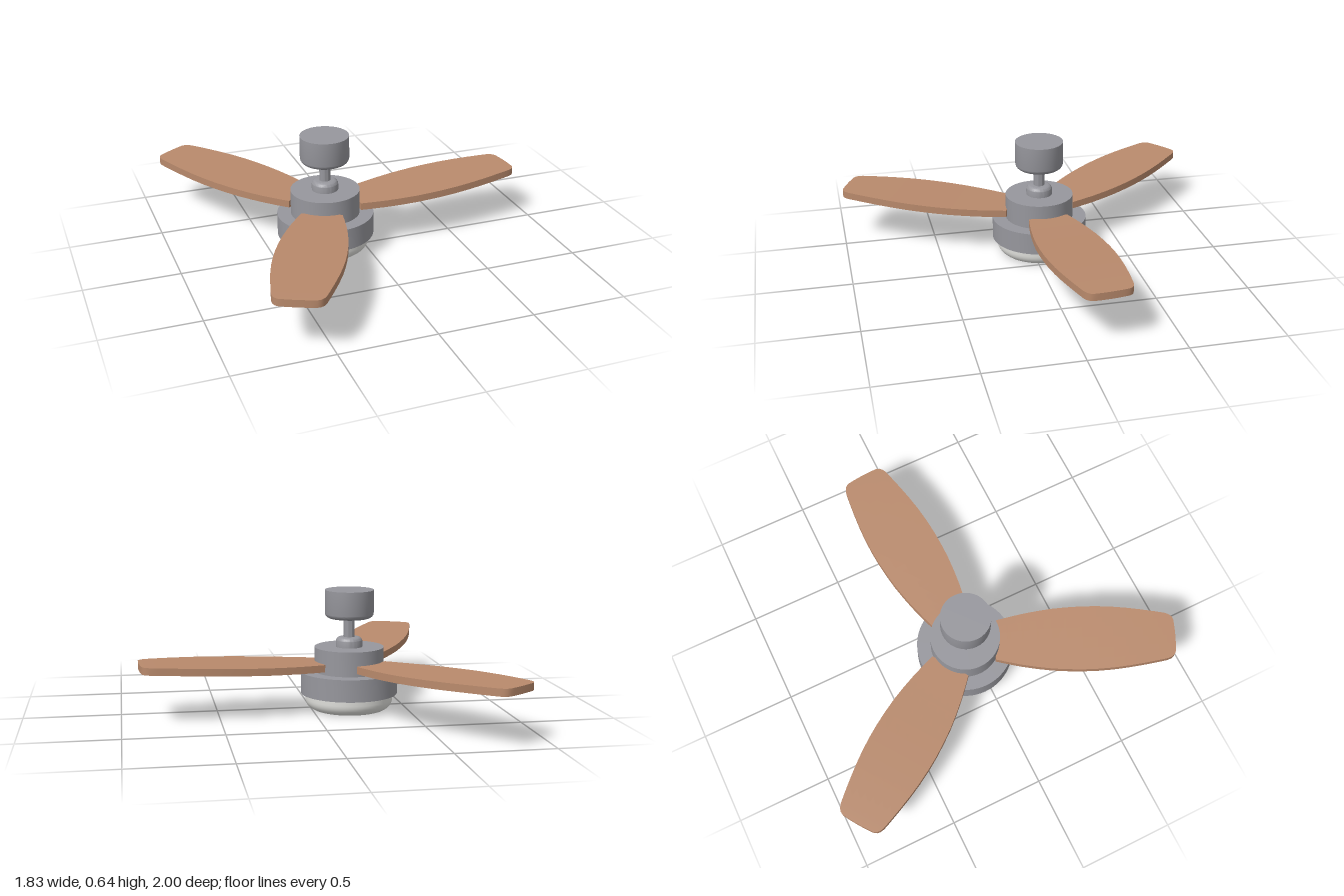
import * as THREE from 'three';
import { toCreasedNormals } from 'three/addons/utils/BufferGeometryUtils.js';

const metal = new THREE.MeshStandardMaterial({ name: 'grey metal', color: 0x97979d });
const wood = new THREE.MeshStandardMaterial({ name: 'brown wood', color: 0xb98a6c });
const glass = new THREE.MeshStandardMaterial({ name: 'white glass', color: 0xe0e0dc });

// Turned solid from y0 to y1 with optional rounded bottom and top rims
function turned(name, material, r, y0, y1, roundBottom = 0, roundTop = 0) {
  const pts = [new THREE.Vector2(0, y0)];
  const rim = (radius, cy, from) => {
    const steps = radius ? 8 : 0;
    for (let i = 0; i <= steps; i++) {
      const a = from + (steps ? (i / steps) * Math.PI / 2 : 0);
      pts.push(new THREE.Vector2(r - radius + radius * Math.cos(a), cy + radius * Math.sin(a)));
    }
  };
  rim(roundBottom, y0 + roundBottom, -Math.PI / 2);
  rim(roundTop, y1 - roundTop, 0);
  pts.push(new THREE.Vector2(0, y1));
  const mesh = new THREE.Mesh(toCreasedNormals(new THREE.LatheGeometry(pts, 64), 0.6), material);
  mesh.name = name;
  return mesh;
}

// Blade stations: distance from the axis, half width
const STATIONS = [
  [0.16, 0.108], [0.22, 0.123], [0.3, 0.141], [0.38, 0.155], [0.46, 0.166], [0.54, 0.172],
  [0.62, 0.175], [0.7, 0.174], [0.78, 0.169], [0.86, 0.16], [0.94, 0.148], [1.02, 0.134],
  [1.065, 0.125], [1.085, 0.116], [1.098, 0.104], [1.105, 0.088],
];

// Flat board reshaped to the outline, rising gently towards the tip
function bladeGeometry() {
  const n = STATIONS.length - 1;
  const geo = new THREE.BoxGeometry(n, 0.038, 2, n, 1, 6);
  const p = geo.attributes.position;
  for (let i = 0; i < p.count; i++) {
    const [u, half] = STATIONS[Math.round(p.getX(i) + n / 2)];
    const t = (u - 0.16) / 0.945;
    const rise = 0.034 * (0.6 * t + 0.4 * t * t * (3 - 2 * t));
    const v = p.getZ(i);
    const bow = u > 1.1 ? 0.004 * (1 - v * v) : 0;
    p.setXYZ(i, u + bow, p.getY(i) + 0.242 + rise, v * half);
  }
  return toCreasedNormals(geo, 0.7);
}

export function createModel() {
  const fan = new THREE.Group();
  fan.name = 'ceilingFan';

  // Central stack, from the lamp up to the ceiling mount
  fan.add(
    turned('lampBowl', glass, 0.232, 0, 0.09, 0.06),
    turned('lowerHousing', metal, 0.256, 0.087, 0.204),
    turned('motorHousing', metal, 0.183, 0.2, 0.334),
    turned('rodCollar', metal, 0.07, 0.33, 0.387, 0, 0.025),
    turned('downRod', metal, 0.029, 0.38, 0.49),
    turned('ceilingCanopy', metal, 0.129, 0.487, 0.637, 0.03),
  );

  // Three blades
  const geo = bladeGeometry();
  for (let i = 0; i < 3; i++) {
    const blade = new THREE.Mesh(geo, wood);
    blade.name = 'blade' + (i + 1);
    blade.rotation.y = THREE.MathUtils.degToRad(5 + i * 120);
    fan.add(blade);
  }

  // Shift the hub so the whole fan is centred
  fan.position.set(-0.2, 0, -0.045);
  const model = new THREE.Group();
  model.name = 'model';
  model.add(fan);
  return model;
}
